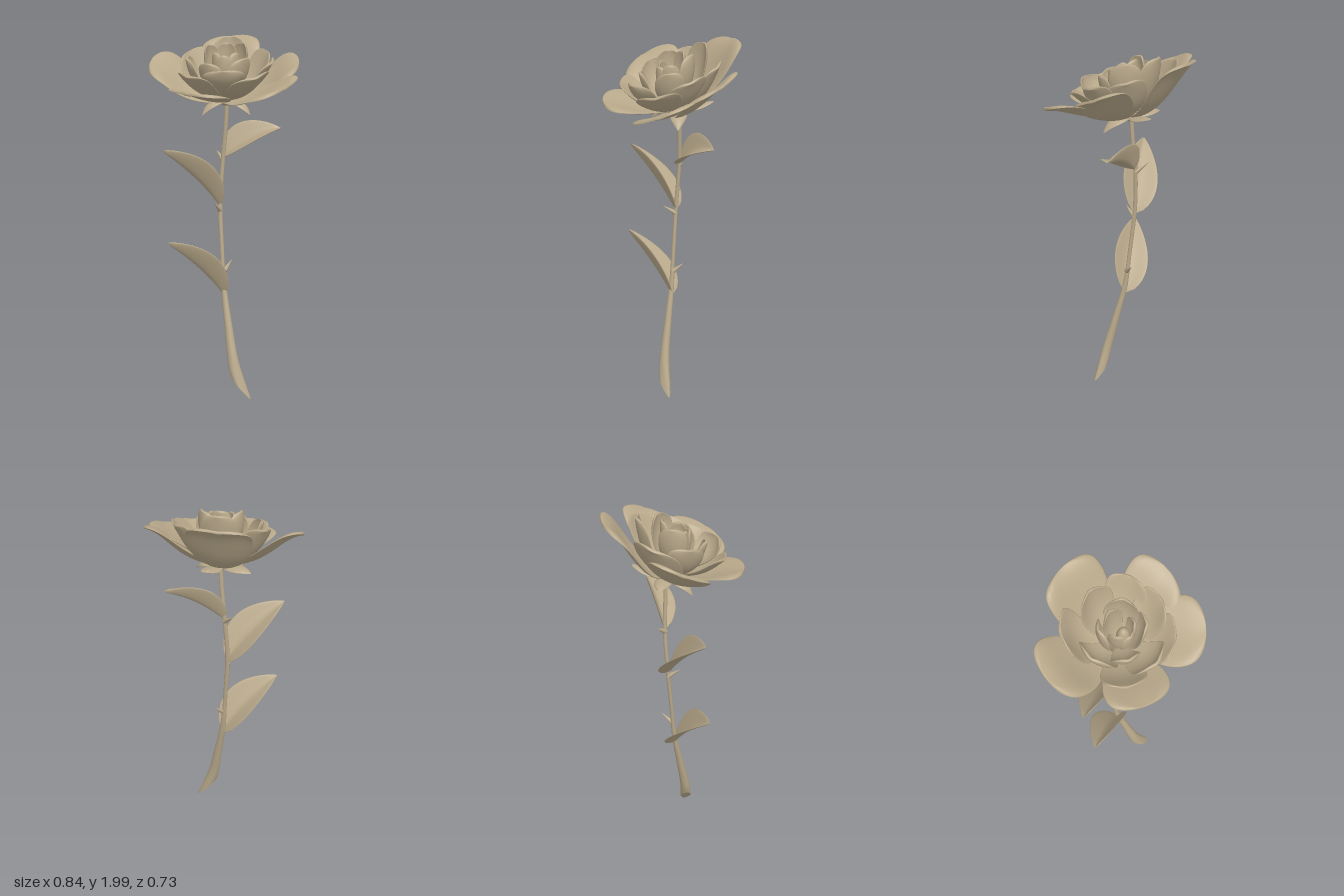
import * as THREE from 'three';

const V = (x, y, z) => new THREE.Vector3(x, y, z);

// Skin over a list of closed cross-sections, with a flat cap on the last one
function loft(rings, cap = false) {
  const n = rings[0].length, pos = [], index = [];
  rings.forEach(r => r.forEach(p => pos.push(p.x, p.y, p.z)));
  for (let i = 0; i < rings.length - 1; i++) {
    for (let j = 0; j < n; j++) {
      const k = (j + 1) % n, a = i * n + j, b = i * n + k;
      index.push(a, b, a + n, b, b + n, a + n);
    }
  }
  if (cap) {
    const last = rings[rings.length - 1], start = pos.length / 3;
    const c = last.reduce((s, p) => s.add(p), V(0, 0, 0)).divideScalar(n);
    [c, ...last].forEach(p => pos.push(p.x, p.y, p.z));
    for (let j = 0; j < n; j++) index.push(start, start + 1 + j, start + 1 + (j + 1) % n);
  }
  const g = new THREE.BufferGeometry();
  g.setAttribute('position', new THREE.Float32BufferAttribute(pos, 3));
  g.setIndex(index);
  g.computeVertexNormals();
  return g;
}

// Thin curved blade along a spine: width(u) is the outline, cup lifts the sides
function blade(spine, side, width, { cup = 0.2, power = 2, thick = 0.007, curl = 0, steps = 26 }) {
  const m = 14, rings = [];
  for (let i = 0; i <= steps; i++) {
    const s = i / steps, u = 1 - Math.pow(1 - s, 2);
    const c = spine.getPoint(u), t = spine.getTangent(u);
    const n = side.clone().cross(t).normalize(), w = width(u), ring = [];
    for (let j = 0; j < 2 * m; j++) {
      const v = -Math.cos(Math.PI * j / m);
      const h = thick * Math.sqrt(Math.max(0, 1 - v ** 4)) * Math.min(1, w / 0.03) * (j <= m ? 1 : -1);
      const lift = w * (cup * Math.abs(v) ** power - curl * u * u * v ** 6) + h;
      ring.push(c.clone().addScaledVector(side, w * v).addScaledVector(n, lift));
    }
    rings.push(ring);
  }
  return loft(rings);
}

// Petal outline: narrow base, broad blunt end
const petalWidth = hw => u => {
  const a = Math.min(u / 0.66, 1), b = Math.max(0, (u - 0.66) / 0.34);
  return hw * (0.22 + 0.78 * Math.sin(a * Math.PI / 2)) * Math.pow(Math.max(0, 1 - b ** 2.8), 0.45);
};
// Leaf outline: pointed at both ends
const leafWidth = hw => u => hw * Math.pow(Math.sin(Math.PI * Math.pow(u, 0.85)), 0.8) + 0.006 * (1 - u);

export function createModel() {
  const model = new THREE.Group();
  const clay = new THREE.MeshStandardMaterial({ color: 0xb9a98b, side: THREE.DoubleSide });
  clay.name = 'warm clay';
  const add = (geometry, name, parent = model) => {
    const mesh = new THREE.Mesh(geometry, clay);
    mesh.name = name;
    parent.add(mesh);
    return mesh;
  };
  const group = name => {
    const g = new THREE.Group();
    g.name = name;
    model.add(g);
    return g;
  };

  // Stem: bent, thicker towards a slanted cut at the foot
  const path = new THREE.CatmullRomCurve3([
    V(0.004, 1.66, -0.035), V(-0.005, 1.5, -0.04), V(-0.022, 1.32, -0.045), V(-0.034, 1.08, -0.032),
    V(-0.018, 0.82, -0.01), V(0, 0.6, 0.01), V(0.035, 0.4, 0.045), V(0.075, 0.2, 0.08), V(0.12, 0.065, 0.092)]);
  const rings = [];
  for (let i = 0; i <= 60; i++) {
    const c = path.getPointAt(i / 60), ring = [];
    const r = 0.012 + 0.022 * Math.pow(THREE.MathUtils.clamp((0.75 - c.y) / 0.65, 0, 1), 1.2);
    const slant = THREE.MathUtils.smoothstep(i / 60, 0.88, 1);
    for (let j = 0; j < 16; j++) {
      const a = j / 16 * Math.PI * 2, x = r * Math.cos(a);
      const pinch = 0.9 - 0.45 * slant * Math.max(0, Math.cos(a));
      ring.push(V(c.x + x * (1 + 0.7 * slant), c.y - 1.95 * x * slant, c.z + r * pinch * Math.sin(a)));
    }
    rings.push(ring);
  }
  add(loft(rings, true), 'stem');

  // Leaves, folded along the rib: base, middle of the rib, tip, side direction, half width
  const leaves = group('leaves');
  const addLeaf = (base, mid, tip, side, hw) => {
    const control = mid.clone().multiplyScalar(2).addScaledVector(base, -0.5).addScaledVector(tip, -0.5);
    const spine = new THREE.QuadraticBezierCurve3(base, control, tip);
    add(blade(spine, side.normalize(), leafWidth(hw), { cup: 0.58, power: 1.2, thick: 0.006 }), 'leaf', leaves);
  };
  for (const o of [V(0, 0, 0), V(0.035, -0.5, 0.035)]) {
    addLeaf(V(-0.03, 1.06, -0.03).add(o), V(-0.147, 1.224, 0.044).add(o), V(-0.31, 1.375, 0.135).add(o),
      V(-0.6, -0.45, -0.66), 0.1);
  }
  addLeaf(V(-0.02, 1.33, -0.045), V(0.129, 1.438, -0.08), V(0.285, 1.49, -0.115), V(0.63, -0.45, 0.63), 0.092);

  // Thorns: base and tip
  const thorns = group('thorns');
  for (const [b, t] of [
    [V(0, 0.7, -0.002), V(0.028, 0.755, -0.062)],
    [V(-0.034, 1.035, -0.03), V(-0.045, 1.085, 0.042)],
    [V(-0.022, 1.315, -0.045), V(-0.075, 1.365, -0.092)]]) {
    const d = t.clone().sub(b);
    const thorn = add(new THREE.ConeGeometry(0.015, d.length(), 10), 'thorn', thorns);
    thorn.position.copy(b).addScaledVector(d, 0.5);
    thorn.quaternion.setFromUnitVectors(V(0, 1, 0), d.normalize());
  }

  // Calyx and sepals below the flower
  const calyx = add(new THREE.SphereGeometry(0.04, 20, 12), 'calyx');
  calyx.position.set(0.002, 1.64, -0.032);
  calyx.scale.y = 0.7;
  const sepals = group('sepals');
  for (const [x, y, z] of [[-0.1, 1.565, 0.09], [0.15, 1.57, 0.03], [0.06, 1.68, -0.21], [-0.17, 1.635, -0.09]]) {
    const base = V(0, 1.635, -0.03), tip = V(x, y, z);
    const mid = base.clone().lerp(tip, 0.6).setY(1.665);
    const d = tip.clone().sub(base).setY(0).normalize();
    add(blade(new THREE.QuadraticBezierCurve3(base, mid, tip), V(-d.z, 0, d.x), leafWidth(0.043),
      { cup: -0.25, thick: 0.005, steps: 14 }), 'sepal', sepals);
  }

  // Petal rings, tilted towards the front. Each petal: tip x, tip z, tip y, half width
  const petalRings = [
    { name: 'outerPetals', base: V(0, 1.64, -0.025), k: [0.6, 0.68], rise: [0.06, 0.9], tilt: 0.46, cup: 0.18, curl: 0.2, petals: [
      [-0.06, -0.36, 1.975, 0.168], [0.385, -0.11, 1.845, 0.165], [0.385, 0.215, 1.725, 0.175],
      [-0.095, 0.357, 1.695, 0.168], [-0.42, 0, 1.845, 0.17]] },
    { name: 'middlePetals', base: V(0, 1.65, -0.02), k: [0.7, 0.84], rise: [0.08, 0.75], tilt: 0.36, cup: 0.28, curl: 0.1, petals: [
      [-0.24, -0.125, 1.9, 0.13], [0.2, -0.165, 1.9, 0.11], [0.22, 0.185, 1.775, 0.125],
      [-0.13, 0.25, 1.78, 0.115], [0.265, 0.01, 1.85, 0.11]] },
    { name: 'innerPetals', base: V(0, 1.66, -0.01), k: [0.8, 0.95], rise: [0.12, 0.65], tilt: 0.25, cup: 0.4, curl: 0.08, petals: [
      [0.06, 0.245, 1.81, 0.11], [-0.195, 0.06, 1.87, 0.105], [-0.02, -0.185, 1.98, 0.1],
      [-0.05, 0.165, 1.845, 0.075], [0.125, 0.075, 1.87, 0.08]] },
    { name: 'heartPetals', base: V(0.005, 1.68, 0.015), k: [0.95, 1.12], rise: [0.15, 0.65], tilt: 0, cup: 0.42, curl: 0, petals: [
      [0.085, -0.07, 1.95, 0.085], [-0.095, -0.015, 1.94, 0.075], [0, -0.055, 1.95, 0.06], [0.075, 0.04, 1.9, 0.05],
      [-0.04, 0.055, 1.9, 0.05], [0.02, 0.085, 1.885, 0.048]] }];
  for (const { name, base, k, rise, tilt, cup, curl, petals } of petalRings) {
    const ring = group(name);
    for (const [x, z, y, hw] of petals) {
      const tip = V(x, y, z), flat = tip.clone().sub(base).setY(0), d = flat.clone().normalize();
      const [c1, c2] = [0, 1].map(i => base.clone().addScaledVector(flat, k[i]).setY(base.y + rise[i] * (y - base.y)));
      add(blade(new THREE.CubicBezierCurve3(base, c1, c2, tip), V(-d.z, -tilt * d.x, d.x).normalize(),
        petalWidth(hw), { cup, curl }), 'petal', ring);
    }
  }

  // Closed bud in the heart
  const profile = [[0.001, 1.68], [0.03, 1.72], [0.036, 1.79], [0.028, 1.85], [0.014, 1.876], [0, 1.882]];
  const curve = new THREE.SplineCurve(profile.map(p => new THREE.Vector2(...p)));
  add(new THREE.LatheGeometry(curve.getPoints(20), 20), 'bud').position.set(0.012, 0, 0.037);

  return model;
}
